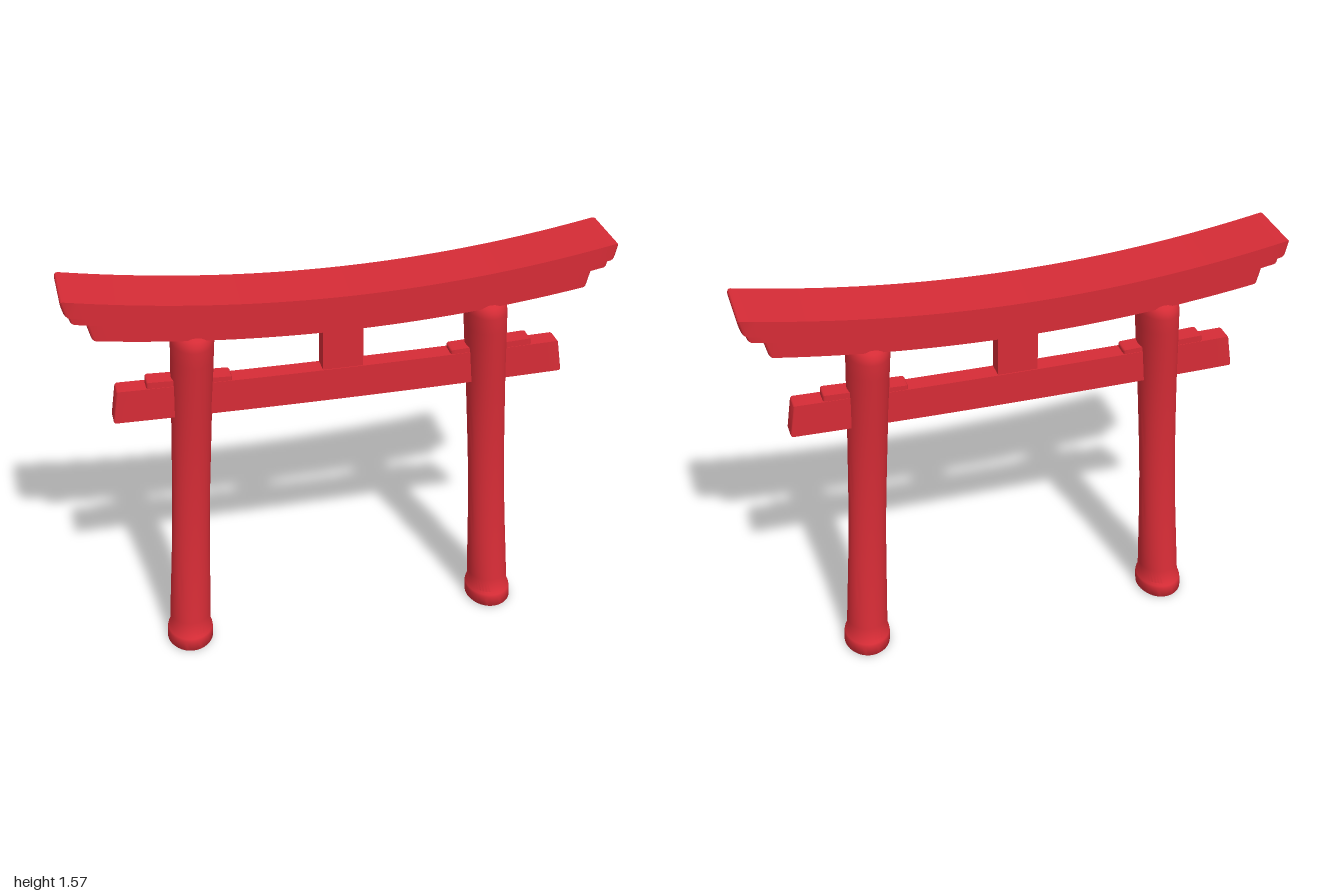
import * as THREE from 'three';
import { mergeVertices, toCreasedNormals } from 'three/addons/utils/BufferGeometryUtils.js';

const red = new THREE.MeshStandardMaterial({ color: 0xd62c36 });
red.name = 'vermilion red';

function smooth(geometry, angle) {
  geometry.deleteAttribute('uv');
  geometry.deleteAttribute('normal');
  return toCreasedNormals(mergeVertices(geometry, 1e-4), angle);
}

function part(name, geometry) {
  const mesh = new THREE.Mesh(geometry, red);
  mesh.name = name;
  return mesh;
}

// Beam along x with rounded edges, sloping ends and an upward bow of sag * x^2
function beam(name, { y0, y1, halfZ, top, bottom, sag = 0, r = 0.015 }) {
  const z = halfZ - r, low = y0 + r, high = y1 - r;
  const section = new THREE.Shape([
    new THREE.Vector2(-z, low), new THREE.Vector2(z, low),
    new THREE.Vector2(z, high), new THREE.Vector2(-z, high),
  ]);
  const geometry = new THREE.ExtrudeGeometry(section, {
    depth: 2 * (top - r), steps: 40, bevelEnabled: true,
    bevelSize: r, bevelThickness: r, bevelSegments: 4,
  });
  geometry.translate(0, 0, -(top - r)).rotateY(Math.PI / 2);
  const p = geometry.attributes.position;
  for (let i = 0; i < p.count; i++) {
    const t = (p.getY(i) - y0) / (y1 - y0);
    const x = p.getX(i) * (bottom + (top - bottom) * t) / top;
    p.setX(i, x);
    p.setY(i, p.getY(i) + sag * x * x);
  }
  return part(name, smooth(geometry, 0.7));
}

// Pillar rows: height, half width in x, half depth in z
const pillarRows = [
  [0, 0, 0], [0, 0.083, 0.102], [0.006, 0.088, 0.107], [0.045, 0.088, 0.107],
  [0.056, 0.086, 0.104], [0.064, 0.079, 0.094], [0.12, 0.078, 0.087],
  [0.2, 0.077, 0.079], [0.3, 0.075, 0.071], [0.4, 0.073, 0.065], [0.55, 0.071, 0.061],
  [0.68, 0.071, 0.062], [0.8, 0.072, 0.066], [0.92, 0.073, 0.073],
  [1.04, 0.074, 0.083], [1.16, 0.076, 0.095], [1.25, 0.077, 0.104],
  [1.315, 0.078, 0.111], [1.335, 0.076, 0.109], [1.352, 0.07, 0.099],
  [1.362, 0.06, 0.086], [1.362, 0, 0],
];

function pillar(name, side) {
  const n = pillarRows.length;
  const geometry = new THREE.LatheGeometry(
    pillarRows.map(([y, rx]) => new THREE.Vector2(rx ? 1 : 0, y)), 40);
  const p = geometry.attributes.position;
  for (let i = 0; i < p.count; i++) {
    const [y, rx, rz] = pillarRows[i % n];
    p.setX(i, p.getX(i) * rx + side * (0.6125 - 0.053 * y)); // leans inwards
    p.setZ(i, p.getZ(i) * rz);
  }
  return part(name, smooth(geometry, 0.8));
}

export function createModel() {
  const gate = new THREE.Group();
  gate.name = 'gate';

  // Curved lintel in three layers
  gate.add(
    beam('topLintel', { y0: 1.42, y1: 1.48, halfZ: 0.119, top: 1, bottom: 0.985, sag: 0.095, r: 0.018 }),
    beam('middleLintel', { y0: 1.385, y1: 1.43, halfZ: 0.095, top: 0.978, bottom: 0.965, sag: 0.095, r: 0.012 }),
    beam('lowerLintel', { y0: 1.328, y1: 1.405, halfZ: 0.085, top: 0.918, bottom: 0.897, sag: 0.085, r: 0.012 }),
  );

  // Tie beam and the short centre post above it
  gate.add(beam('tieBeam', { y0: 1.02, y1: 1.147, halfZ: 0.036, top: 0.826, bottom: 0.845, sag: 0.012, r: 0.01 }));
  const post = part('centrePost', new THREE.BoxGeometry(0.15, 0.24, 0.064));
  post.position.set(0, 1.25, 0);
  gate.add(post);

  for (const side of [-1, 1]) {
    const label = side > 0 ? 'left' : 'right';
    gate.add(pillar(label + 'Pillar', side));
    // Wedge lying on the tie beam, through the pillar
    const wedge = beam(label + 'Wedge', { y0: 1.13, y1: 1.178, halfZ: 0.034, top: 0.155, bottom: 0.155, r: 0.01 });
    wedge.position.x = side * 0.564;
    wedge.rotation.z = side * 0.04;
    wedge.position.y = -0.006;
    wedge.geometry.translate(0, -1.15, 0);
    wedge.position.y += 1.15;
    gate.add(wedge);
  }
  return gate;
}
